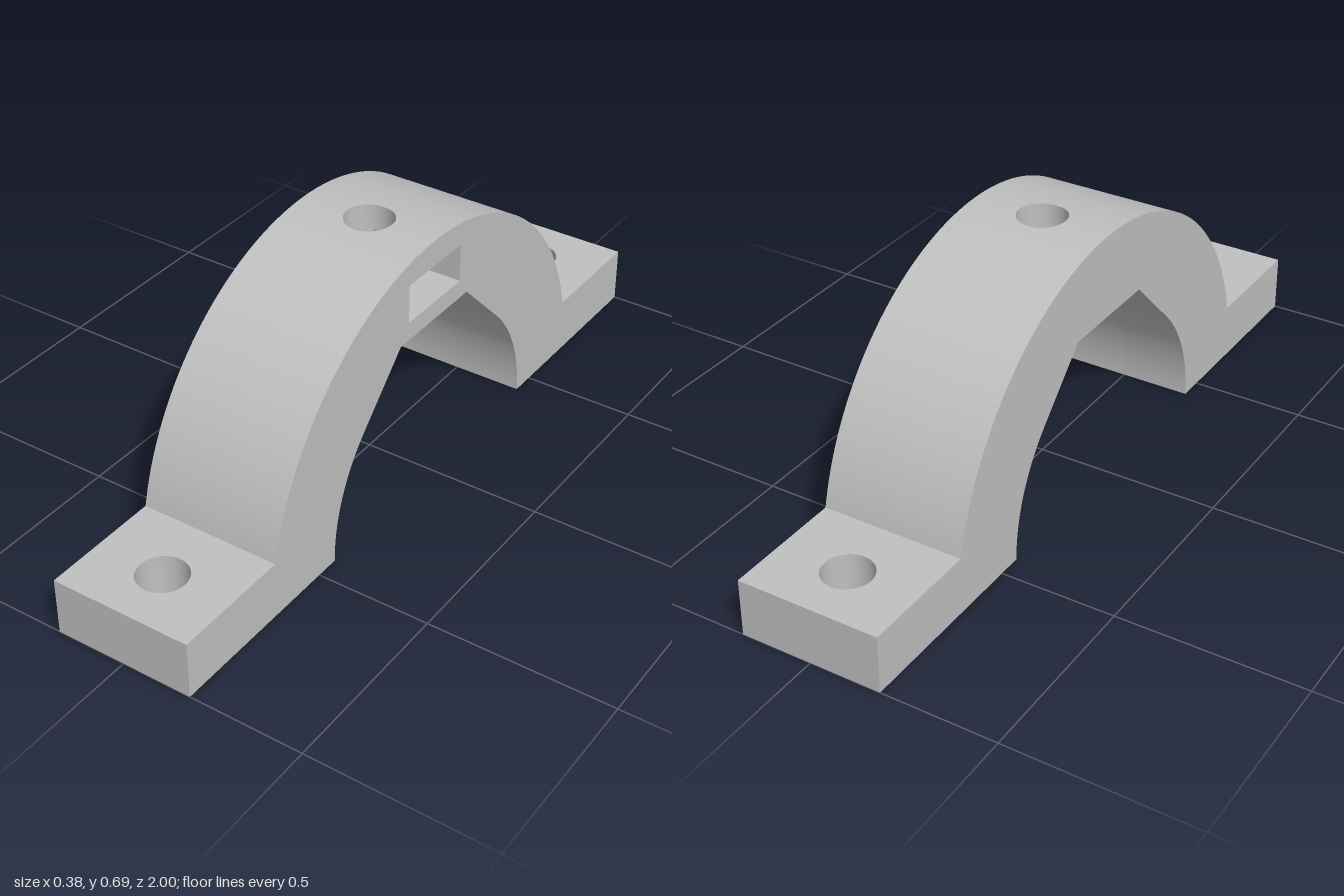
import * as THREE from 'three';

const W = 0.192;              // half width of the strap
const R = 0.69, RI = 0.435;   // outer and inner arc radii
const FOOT = 0.155, FOOT_Z = Math.sqrt(R * R - FOOT * FOOT);
const HOLE = 0.065, BOLT_Z = 0.845;
const FLAT_Y = 0.465, FLAT_Z = 0.15;
const NUT = { lo: 0.515, hi: 0.62, z: 0.115, tip: 0.133 };

// Strip of quads between two point rows, facing (b - a) x (direction along the row)
function loft(a, b) {
  const index = [];
  for (let i = 0; i < a.length - 1; i++) {
    const k = 2 * i;
    index.push(k, k + 1, k + 3, k, k + 3, k + 2);
  }
  const geo = new THREE.BufferGeometry();
  geo.setAttribute('position', new THREE.Float32BufferAttribute(a.flatMap((p, i) => [...p, ...b[i]]), 3));
  geo.setIndex(index);
  geo.computeVertexNormals();
  return geo;
}

// Half width of any bolt hole at depth z
function holeHalf(z) {
  for (const c of [-BOLT_Z, 0, BOLT_Z]) {
    const d = HOLE * HOLE - (z - c) ** 2;
    if (d > 1e-8) return Math.sqrt(d);
  }
  return 0;
}

// z samples across one hole, ascending
const holeZs = (c) => Array.from({ length: 25 }, (_, k) => c - HOLE * Math.cos((k / 24) * Math.PI));
const arc = (r, a0, a1, n) => Array.from({ length: n + 1 }, (_, i) => {
  const t = a0 + ((a1 - a0) * i) / n;
  return [r * Math.cos(t), r * Math.sin(t)];
});
const mirror = (pts) => pts.map(([z, y]) => [-z, y]).reverse();

export function createModel() {
  const model = new THREE.Group();
  const grey = new THREE.MeshStandardMaterial({ color: 0xc0c0c0 });
  grey.name = 'grey';
  const add = (name, geo) => {
    const mesh = new THREE.Mesh(geo, grey);
    mesh.name = name;
    model.add(mesh);
  };

  // Side outline as [z, y] sections, running once around the strap
  const footBottom = [RI, ...holeZs(BOLT_Z), 1].map((z) => [z, 0]);
  const footTop = [1, ...holeZs(BOLT_Z).reverse(), FOOT_Z].map((z) => [z, FOOT]);
  const innerArc = arc(RI, Math.PI / 4, 0, 20);
  const innerSlope = [[FLAT_Z, FLAT_Y], innerArc[0]];
  const innerFlat = [-FLAT_Z, ...holeZs(0), FLAT_Z].map((z) => [z, FLAT_Y]);
  const shoulder = arc(R, Math.asin(FOOT / R), Math.acos(HOLE / R), 40);
  const crown = holeZs(0).reverse().slice(1, -1).map((z) => [z, Math.sqrt(R * R - z * z)]);
  const end = [[1, 0], [1, FOOT]];
  const sections = [
    ['footBottom', mirror(footBottom)],
    ['innerArc', mirror(innerArc)],
    ['innerSlope', mirror(innerSlope)],
    ['innerFlat', innerFlat],
    ['innerSlope', innerSlope],
    ['innerArc', innerArc],
    ['footBottom', footBottom],
    ['footEnd', end],
    ['footTop', footTop],
    ['outerArc', [...shoulder, ...crown, ...mirror(shoulder)]],
    ['footTop', mirror(footTop)],
    ['footEnd', mirror(end)],
  ];

  // Sweep each section across the width, leaving the bolt holes open
  for (const [name, pts] of sections) {
    const gap = (z) => (Math.abs(z) === 1 ? 0 : holeHalf(z));
    const row = (fx) => pts.map(([z, y]) => [fx(z), y, z]);
    add(name, loft(row(gap), row(() => W)));
    add(name, loft(row(() => -W), row((z) => -gap(z))));
  }

  // Flat sides, the +x one with the nut slot opening
  const outline = sections.flatMap(([, pts]) => pts.slice(0, -1)).map(([z, y]) => new THREE.Vector2(z, y));
  for (const s of [1, -1]) {
    const shape = new THREE.Shape(outline);
    if (s > 0) {
      const { lo, hi, z } = NUT;
      shape.holes.push(new THREE.Path([[-z, lo], [-z, hi], [z, hi], [z, lo]].map((p) => new THREE.Vector2(...p))));
    }
    add('sideFace', new THREE.ShapeGeometry(shape).rotateY((s * Math.PI) / 2).translate(s * W, 0, 0));
  }

  // Bolt hole walls, facing the hole axis
  const bore = (name, c, bottom, top) => {
    const ring = (fy) => Array.from({ length: 49 }, (_, i) => {
      const t = (i / 48) * Math.PI * 2, z = HOLE * Math.sin(t);
      return [HOLE * Math.cos(t), fy(z), c + z];
    });
    add(name, loft(ring(top), ring(() => bottom)));
  };
  for (const s of [1, -1]) bore('footHole', s * BOLT_Z, 0, () => FOOT);
  bore('crownHoleLower', 0, FLAT_Y, () => NUT.lo);
  bore('crownHoleUpper', 0, NUT.hi, (z) => Math.sqrt(R * R - z * z));

  // Nut slot walls with a pointed inner end
  const corner = -NUT.tip / 2;
  const path = [[W, NUT.z], [corner, NUT.z], [-NUT.tip, 0], [corner, -NUT.z], [W, -NUT.z]];
  for (let i = 0; i < 4; i++) {
    const at = (y) => path.slice(i, i + 2).map(([x, z]) => [x, y, z]);
    add('nutSlotWall', loft(at(NUT.hi), at(NUT.lo)));
  }

  // Nut slot floor and ceiling around the crown hole
  const slotZs = [-NUT.z, ...holeZs(0), NUT.z];
  const inner = (z) => -NUT.tip + (Math.abs(z) / NUT.z) * (NUT.tip / 2);
  for (const [name, y, zs] of [['nutSlotFloor', NUT.lo, [...slotZs].reverse()], ['nutSlotCeiling', NUT.hi, slotZs]]) {
    const row = (fx) => zs.map((z) => [fx(z), y, z]);
    add(name, loft(row(holeHalf), row(() => W)));
    add(name, loft(row(inner), row((z) => -holeHalf(z))));
  }
  return model;
}
